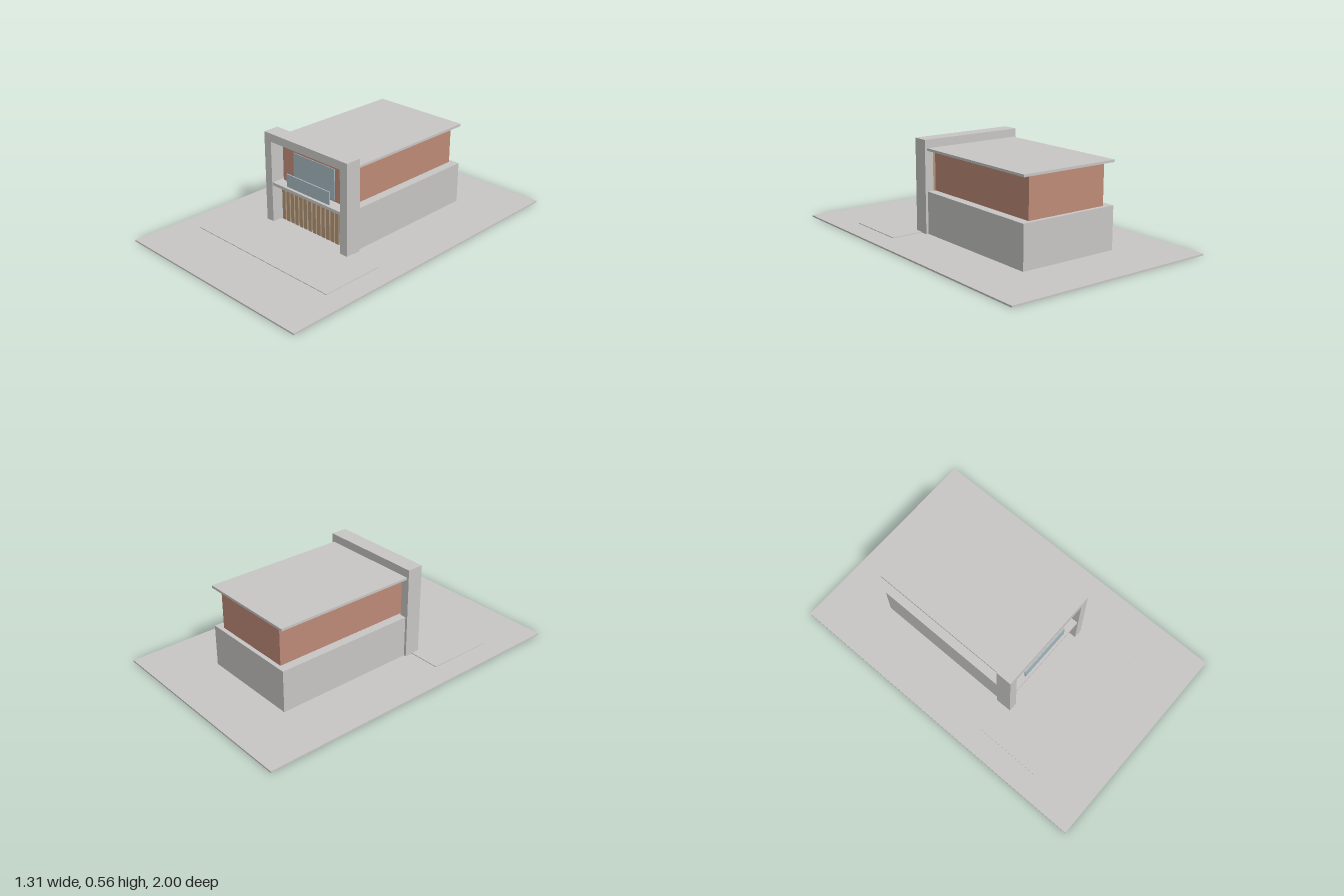
import * as THREE from 'three';

const mat = (name, color) => {
  const m = new THREE.MeshStandardMaterial({ color });
  m.name = name;
  return m;
};

export function createModel() {
  const house = new THREE.Group();
  house.name = 'house';

  const concrete = mat('concrete', 0xc9c8c6);
  const brick = mat('terracotta', 0xc08c78);
  const timber = mat('timber', 0xb2967a);
  const glass = mat('glass', 0xa5b7be);

  // Adds a box given by its limits on each axis
  const block = (name, material, [x0, x1], [y0, y1], [z0, z1], parent = house) => {
    const mesh = new THREE.Mesh(new THREE.BoxGeometry(x1 - x0, y1 - y0, z1 - z0), material);
    mesh.position.set((x0 + x1) / 2, (y0 + y1) / 2, (z0 + z1) / 2);
    mesh.name = name;
    parent.add(mesh);
    return mesh;
  };

  // Plot and paved forecourt
  block('ground', concrete, [-0.655, 0.655], [0, 0.009], [-1, 1]);
  block('driveway', concrete, [-0.52, 0.52], [0.009, 0.013], [0.26, 0.655]);

  // Storeys and roof
  block('groundFloor', concrete, [-0.31, 0.31], [0.009, 0.26], [-0.655, 0.212]);
  block('upperFloor', brick, [-0.257, 0.257], [0.26, 0.498], [-0.63, 0.235]);
  block('roof', concrete, [-0.31, 0.31], [0.497, 0.511], [-0.655, 0.212]);

  // Portal frame around the front
  const outline = new THREE.Shape();
  [[-0.325, 0.009], [-0.272, 0.009], [-0.272, 0.511], [0.272, 0.511],
    [0.272, 0.009], [0.325, 0.009], [0.325, 0.56], [-0.325, 0.56]]
    .forEach(([x, y], i) => (i ? outline.lineTo(x, y) : outline.moveTo(x, y)));
  const frame = new THREE.Mesh(
    new THREE.ExtrudeGeometry(outline, { depth: 0.098, bevelEnabled: false }), concrete);
  frame.position.z = 0.212;
  frame.name = 'frontFrame';
  house.add(frame);

  // Balcony
  block('balconyFloor', concrete, [-0.272, 0.272], [0.242, 0.26], [0.212, 0.305]);
  block('balconyRail', glass, [-0.17, 0.17], [0.262, 0.34], [0.282, 0.29]);
  block('window', glass, [-0.165, 0.16], [0.268, 0.455], [0.235, 0.24]);
  block('sideFin', timber, [0.257, 0.272], [0.26, 0.497], [0.212, 0.235]);

  // Timber slats across the ground floor
  const slats = new THREE.Group();
  slats.name = 'slats';
  house.add(slats);
  for (let i = 0; i < 14; i++) {
    const x = -0.257 + i * 0.036;
    block('slat', timber, [x, x + 0.026], [0.015, 0.234], [0.212, 0.25], slats);
  }

  return house;
}
